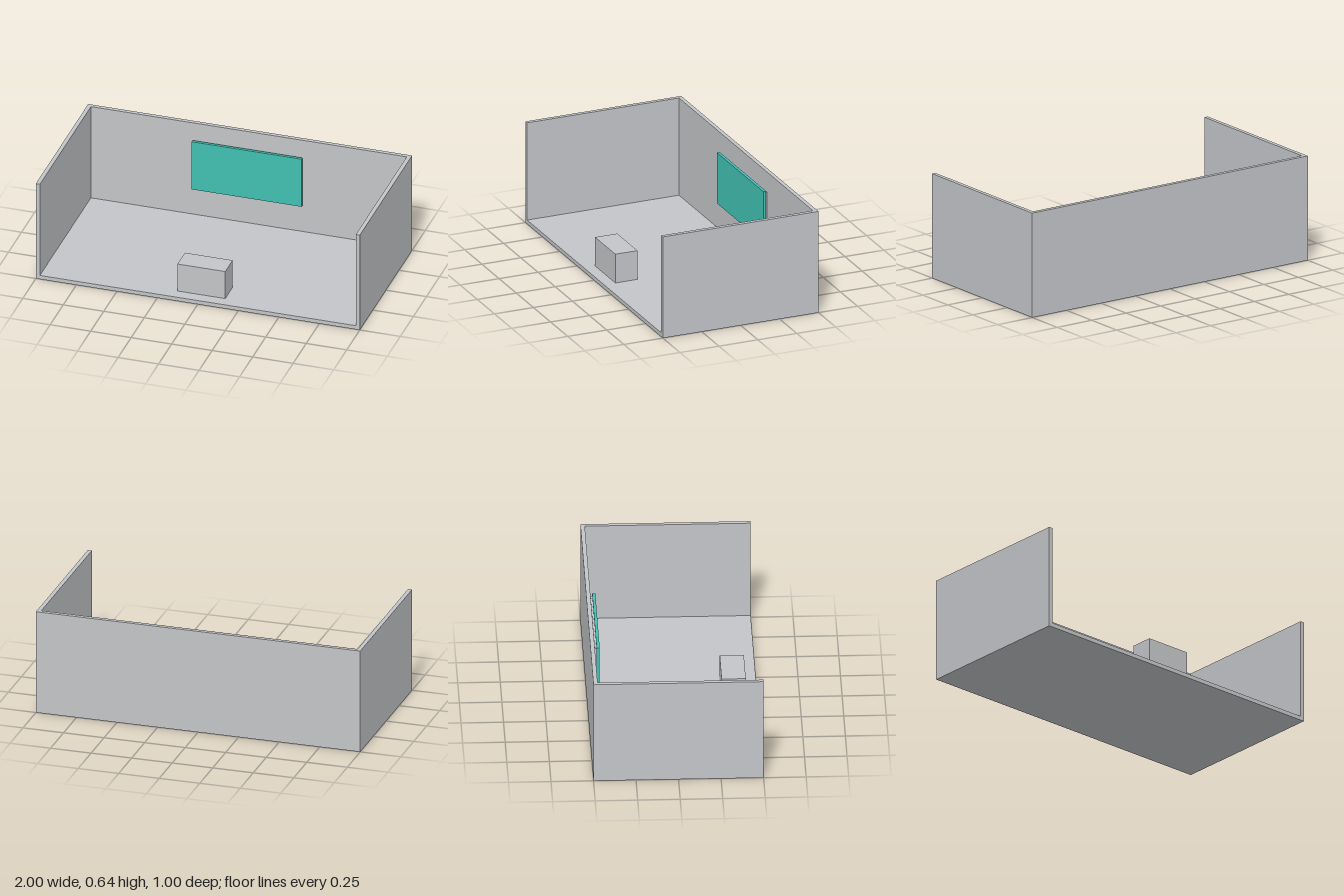
import * as THREE from 'three';

export function createModel() {
  const room = new THREE.Group();
  room.name = 'room';

  const grey = new THREE.MeshStandardMaterial({ color: 0xc3c5c8 });
  grey.name = 'light grey';
  const teal = new THREE.MeshStandardMaterial({ color: 0x42c1b3 });
  teal.name = 'teal';

  // Box given by its extents along each axis
  function addBox(name, material, [x0, x1], [y0, y1], [z0, z1]) {
    const mesh = new THREE.Mesh(new THREE.BoxGeometry(x1 - x0, y1 - y0, z1 - z0), material);
    mesh.position.set((x0 + x1) / 2, (y0 + y1) / 2, (z0 + z1) / 2);
    mesh.name = name;
    room.add(mesh);
  }

  const height = 0.64, depth = 0.5, t = 0.025;

  // Shell: side and back walls around the floor, open at the front and top
  const shape = new THREE.Shape();
  [[-1, depth], [-1, -depth], [1, -depth], [1, depth],
    [1 - t, depth], [1 - t, t - depth], [t - 1, t - depth], [t - 1, depth]]
    .forEach(([x, z], i) => (i ? shape.lineTo(x, -z) : shape.moveTo(x, -z)));
  const wallGeometry = new THREE.ExtrudeGeometry(shape, { depth: height, bevelEnabled: false });
  wallGeometry.rotateX(-Math.PI / 2);
  const walls = new THREE.Mesh(wallGeometry, grey);
  walls.name = 'walls';
  room.add(walls);
  addBox('floor', grey, [t - 1, 1 - t], [0, t], [t - depth, depth]);

  // Wall screen with its smaller backing plate
  addBox('screenBacking', grey, [-0.331, 0.328], [0.221, 0.522], [-0.466, -0.456]);
  addBox('screen', teal, [-0.341, 0.338], [0.212, 0.533], [-0.456, -0.438]);

  // Desk near the open front
  addBox('desk', grey, [-0.149, 0.146], [t, 0.207], [0.286, 0.428]);

  return room;
}
